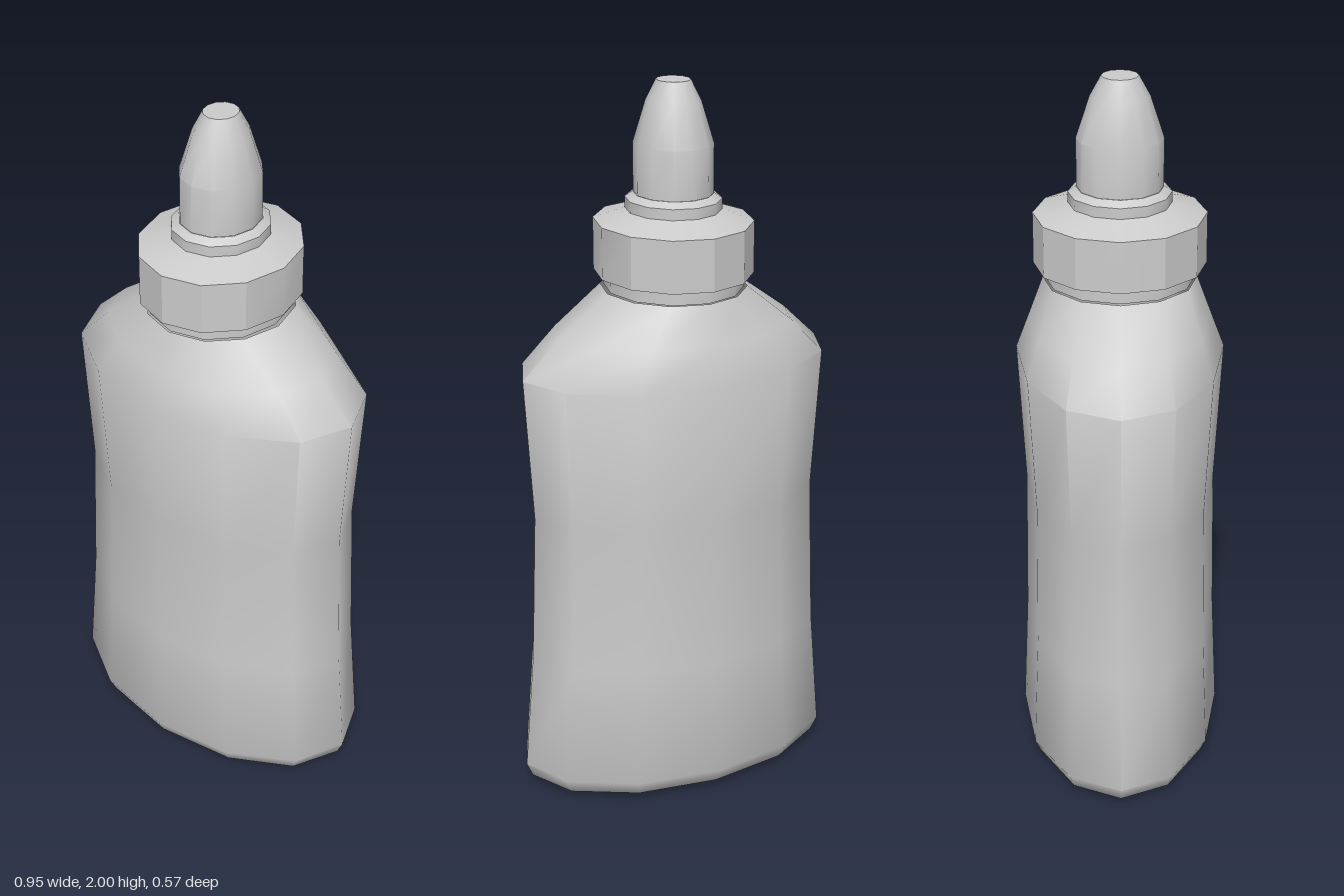
import * as THREE from 'three';
import { toCreasedNormals } from 'three/addons/utils/BufferGeometryUtils.js';

const SIDES = 12;

// Skin a stack of oval rings [y, radiusX, radiusZ], listed from bottom to top
function loft(name, rings, crease, closeTop = false) {
  const pos = [], index = [];
  for (const [y, rx, rz] of rings) {
    for (let i = 0; i < SIDES; i++) {
      const a = (i / SIDES) * Math.PI * 2;
      pos.push(rx * Math.cos(a), y, rz * Math.sin(a));
    }
  }
  for (let r = 0; r < rings.length - 1; r++) {
    for (let i = 0; i < SIDES; i++) {
      const j = (i + 1) % SIDES;
      const a = r * SIDES + i, b = r * SIDES + j;
      index.push(a, a + SIDES, b, b, a + SIDES, b + SIDES);
    }
  }
  if (closeTop) {
    const start = (rings.length - 1) * SIDES;
    for (let i = 1; i < SIDES - 1; i++) index.push(start, start + i + 1, start + i);
  }
  const geo = new THREE.BufferGeometry();
  geo.setAttribute('position', new THREE.Float32BufferAttribute(pos, 3));
  geo.setIndex(index);
  const material = new THREE.MeshStandardMaterial({ color: 0xcccccc, side: THREE.DoubleSide });
  const mesh = new THREE.Mesh(toCreasedNormals(geo, crease), material);
  mesh.name = name;
  return mesh;
}

export function createModel() {
  const group = new THREE.Group();
  group.name = 'squeezeBottle';

  // Waisted oval body with an open base and sloping shoulders
  group.add(loft('body', [
    [0, 0.42, 0.235],
    [0.02, 0.457, 0.268],
    [0.06, 0.475, 0.287],
    [0.4, 0.446, 0.272],
    [0.82, 0.43, 0.266],
    [1.225, 0.455, 0.287],
    [1.325, 0.35, 0.25],
    [1.435, 0.2, 0.21],
  ], 0.9));

  // Short neck under the cap
  group.add(loft('neck', [
    [1.435, 0.19, 0.205],
    [1.475, 0.19, 0.205],
  ], 0.6));

  // Faceted screw cap with a sloping top
  group.add(loft('cap', [
    [1.47, 0.185, 0.2],
    [1.475, 0.215, 0.235],
    [1.62, 0.215, 0.235],
    [1.65, 0.13, 0.14],
  ], 0.5));

  // Stepped collar at the foot of the nozzle
  group.add(loft('collar', [
    [1.65, 0.13, 0.14],
    [1.68, 0.13, 0.14],
    [1.695, 0.108, 0.118],
  ], 0.6));

  // Tapered nozzle with a flat tip
  group.add(loft('nozzle', [
    [1.695, 0.107, 0.117],
    [1.83, 0.107, 0.117],
    [1.945, 0.073, 0.08],
    [2.0, 0.046, 0.05],
  ], 0.6, true));

  return group;
}
